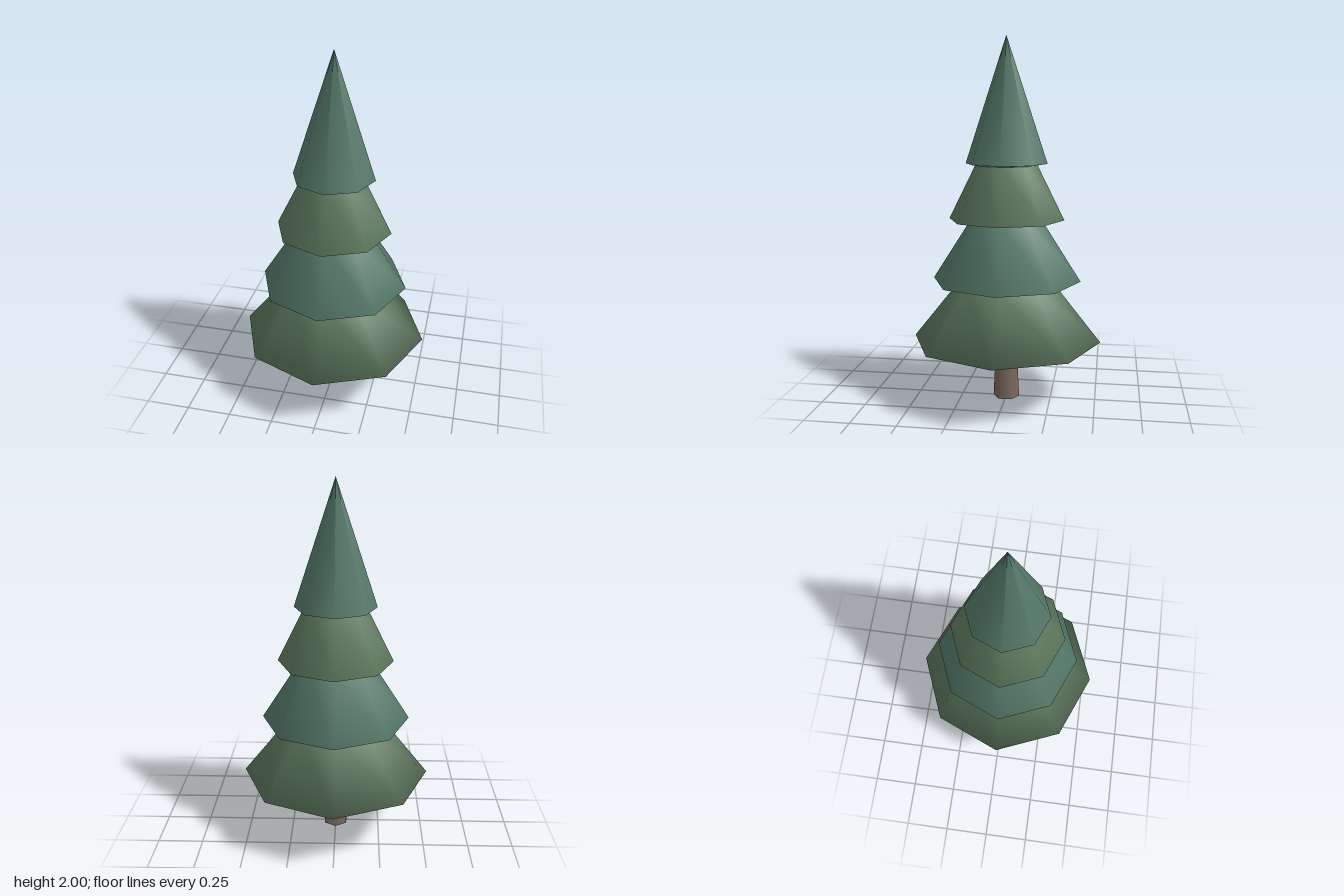
import * as THREE from 'three';

const OLIVE = 0x617c61;
const TEAL = 0x567b6b;
const BARK = 0x7b695d;

function addPart(group, name, geometry, color) {
  const mesh = new THREE.Mesh(geometry, new THREE.MeshStandardMaterial({ color }));
  mesh.name = name;
  group.add(mesh);
}

// Eight-sided, smooth-shaded ring of branches; profile runs from the underside up
function tierGeometry(profile) {
  return new THREE.LatheGeometry(profile.map(([r, y]) => new THREE.Vector2(r, y)), 8);
}

export function createModel() {
  const tree = new THREE.Group();
  tree.name = 'pineTree';

  // Tapered hexagonal trunk
  const trunk = new THREE.CylinderGeometry(0.058, 0.073, 0.312, 6);
  trunk.translate(0, 0.156, 0);
  addPart(tree, 'trunk', trunk, BARK);

  // Each tier: inner underside ring, flared rim, narrow top
  const tiers = [
    ['bottomBranches', OLIVE, [[0, 0.31], [0.15, 0.31], [0.525, 0.333], [0.26, 0.665]]],
    ['lowerBranches', TEAL, [[0.26, 0.662], [0.412, 0.673], [0.2, 1.005]]],
    ['upperBranches', OLIVE, [[0.2, 1.002], [0.319, 1.012], [0.17, 1.312]]],
    ['topBranches', TEAL, [[0.17, 1.309], [0.225, 1.318], [0, 2]]],
  ];
  for (const [name, color, profile] of tiers) {
    addPart(tree, name, tierGeometry(profile), color);
  }

  return tree;
}
